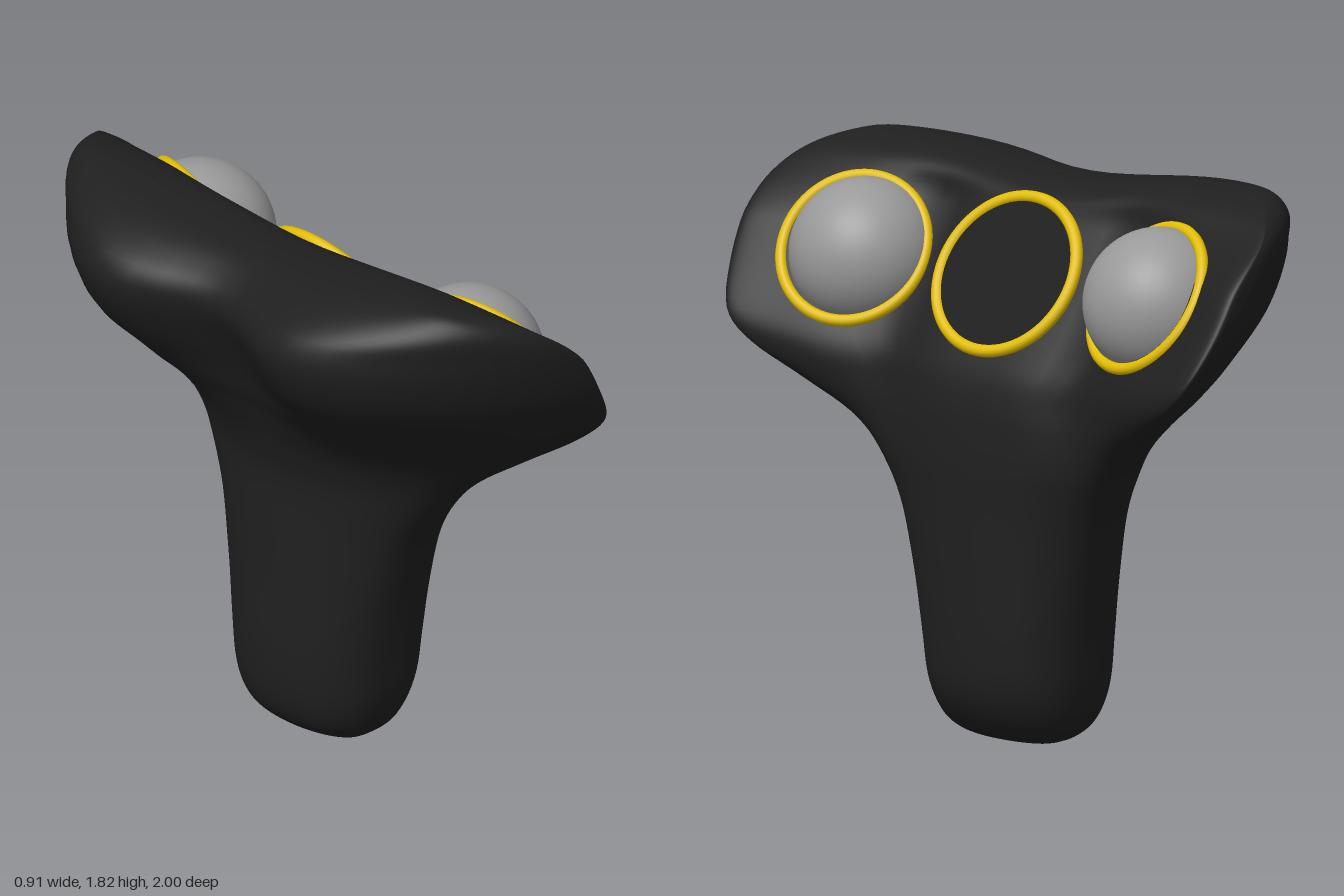
import * as THREE from 'three';

const { smoothstep, lerp } = THREE.MathUtils;

// Body levels: y, half width in z, front x, back x, side edge x
const LEVELS = [
  [0.00, 0.00, 0.13, 0.13, 0.13],
  [0.005, 0.14, 0.20, 0.06, 0.13],
  [0.04, 0.215, 0.28, -0.02, 0.13],
  [0.10, 0.255, 0.34, -0.08, 0.13],
  [0.20, 0.282, 0.385, -0.112, 0.13],
  [0.35, 0.30, 0.397, -0.12, 0.14],
  [0.55, 0.335, 0.40, -0.108, 0.15],
  [0.75, 0.39, 0.40, -0.10, 0.16],
  [0.90, 0.475, 0.40, -0.095, 0.18],
  [1.00, 0.565, 0.395, -0.108, 0.23],
  [1.10, 0.705, 0.385, -0.155, 0.32],
  [1.20, 0.85, 0.36, -0.25, 0.395],
  [1.30, 0.94, 0.305, -0.38, 0.405],
  [1.45, 0.99, 0.215, -0.535, 0.30],
  [1.60, 1.00, 0.13, -0.59, 0.20],
  [1.70, 0.98, 0.08, -0.545, 0.12],
  [1.77, 0.91, 0.04, -0.42, 0.02],
  [1.81, 0.80, -0.03, -0.27, -0.1],
  [1.82, 0.66, -0.13, -0.13, -0.13],
];

function mesh(name, geometry, color) {
  const m = new THREE.Mesh(geometry, new THREE.MeshStandardMaterial({ color }));
  m.name = name;
  return m;
}

// One skin lofted upward through the levels, grip to winged head
function bodyGeometry() {
  const around = 112, sub = 5;
  const spline = new THREE.CubicInterpolant(LEVELS.map((_, i) => i), LEVELS.flat(), LEVELS[0].length);
  const rows = (LEVELS.length - 1) * sub;
  const positions = [], index = [];
  for (let i = 0; i <= rows; i++) {
    const [y, w, front, back, edge] = spline.evaluate(i / sub);
    // the head has a flat front and a tapering back; the grip is round
    const top = smoothstep(y, 1.65, 1.82);
    const frontPower = lerp(0.7, 0.25, smoothstep(y, 0.8, 1.35)) + 0.5 * top;
    const backPower = lerp(0.7, 1.3, smoothstep(y, 0.5, 1.35)) - 0.4 * top;
    // wings bend forward past a shallow valley, with a groove behind and a saddle above the middle
    const bend = 0.19 * smoothstep(y, 0.95, 1.3) * (1 - smoothstep(y, 1.55, 1.82));
    const valley = 0.055 * smoothstep(y, 0.85, 1.15) * (1 - smoothstep(y, 1.66, 1.82));
    const groove = 0.31 * smoothstep(y, 1, 1.5);
    const saddle = 0.055 * smoothstep(y, 1.5, 1.82);
    for (let j = 0; j < around; j++) {
      const t = (j / around) * Math.PI * 2;
      const a = t - 0.4 * Math.sin(2 * t); // closer spacing near the wing tips
      const z = w * Math.cos(a), s = Math.sin(a), out = Math.abs(z);
      const face = front + bend * out ** 2.5 - valley * Math.exp(-(((out - 0.4) / 0.15) ** 2));
      const x = s >= 0
        ? edge + (face - edge) * Math.pow(s, frontPower)
        : edge + (back - edge) * (1 - groove * Math.exp(-((z / 0.32) ** 2))) * Math.pow(-s, backPower);
      positions.push(x, y - saddle * Math.exp(-((z / 0.42) ** 2)), z);
      if (i < rows) {
        const p = i * around + j, q = i * around + ((j + 1) % around);
        index.push(p, q, q + around, p, q + around, p + around);
      }
    }
  }
  const g = new THREE.BufferGeometry();
  g.setAttribute('position', new THREE.Float32BufferAttribute(positions, 3));
  g.setIndex(index);
  g.computeVertexNormals();
  return g;
}

// Turn a part built around +z to face a direction
function aim(part, position, normal) {
  part.position.set(...position);
  part.quaternion.setFromUnitVectors(new THREE.Vector3(0, 0, 1), new THREE.Vector3(...normal).normalize());
  return part;
}

export function createModel() {
  const model = new THREE.Group();
  model.name = 'gripWithWingedHead';
  const gold = 0xe0bc00;
  model.add(mesh('body', bodyGeometry(), 0x1f1f1f));

  // Central dark dial with its rim
  const dial = new THREE.Group();
  dial.name = 'centreDial';
  const disc = mesh('dialFace', new THREE.CylinderGeometry(0.26, 0.26, 0.04, 64), 0x040404);
  disc.rotation.x = Math.PI / 2;
  disc.position.z = -0.012;
  dial.add(disc, mesh('dialRim', new THREE.TorusGeometry(0.26, 0.02, 14, 72), gold));
  model.add(aim(dial, [0.195, 1.492, 0], [0.857, 0.517, 0]));

  // A ball in a rim on each wing
  for (const side of [1, -1]) {
    const name = side > 0 ? 'front' : 'back';
    const ball = mesh(name + 'Ball', new THREE.SphereGeometry(0.24, 48, 32), 0x999999);
    ball.position.set(0.17, 1.475, 0.597 * side);
    const rim = mesh(name + 'BallRim', new THREE.TorusGeometry(0.243, 0.019, 14, 72), gold);
    model.add(ball, aim(rim, [0.226, 1.5, 0.595 * side], [0.82, 0.52, -0.23 * side]));
  }
  return model;
}
